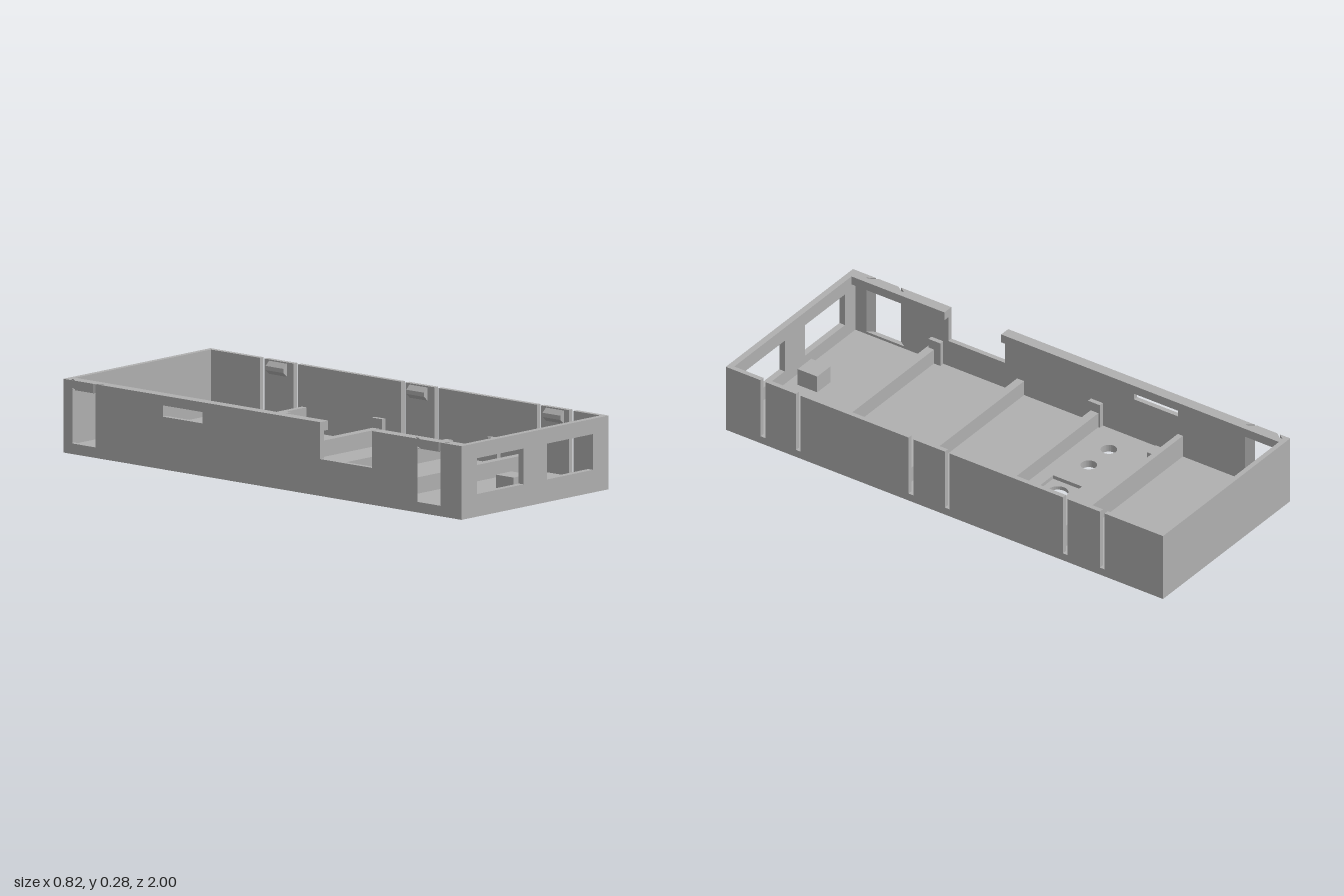
import * as THREE from 'three';

const FLOOR = 0.03, LIP = 0.245, TOP = 0.28;

export function createModel() {
  const group = new THREE.Group();
  const grey = new THREE.MeshStandardMaterial({ color: 0xb0b0b0 });
  grey.name = 'grey plastic';

  const add = (name, geo) => {
    const mesh = new THREE.Mesh(geo, grey);
    mesh.name = name;
    group.add(mesh);
    return mesh;
  };
  const box = (name, x0, x1, y0, y1, z0, z1) =>
    add(name, new THREE.BoxGeometry(x1 - x0, y1 - y0, z1 - z0)
      .translate((x0 + x1) / 2, (y0 + y1) / 2, (z0 + z1) / 2));
  const poly = (pts) => new THREE.Shape(pts.map(([a, b]) => new THREE.Vector2(a, b)));
  const rect = (a0, a1, b0, b1) => poly([[a0, b0], [a1, b0], [a1, b1], [a0, b1]]);
  const circle = (x, y, r) => new THREE.Path().absarc(x, y, r, 0, Math.PI * 2, true);
  const extrude = (shape, depth) =>
    new THREE.ExtrudeGeometry(shape, { depth, bevelEnabled: false, curveSegments: 16 });
  // Plan outline in (x, -z), raised from y0 to y1
  const plan = (name, shape, y0, y1) =>
    add(name, extrude(shape, y1 - y0).rotateX(-Math.PI / 2).translate(0, y0, 0));
  // Side outline in (z, y), running from x0 to x1
  const side = (name, shape, x0, x1) =>
    add(name, extrude(shape, x1 - x0).rotateY(-Math.PI / 2).translate(x1, 0, 0));

  // Floor in two layers: round holes go through, square recesses only in the upper one
  const lower = rect(-0.41, 0.41, -1, 1);
  const upper = rect(-0.41, 0.41, -1, 1);
  for (const x of [-0.27, -0.14]) {
    lower.holes.push(circle(x, 0.27, 0.031));
    upper.holes.push(circle(x, 0.27, 0.031));
  }
  for (const x of [0.06, 0.245]) {
    lower.holes.push(circle(x, 0.27, 0.04));
    upper.holes.push(rect(x - 0.065, x + 0.065, 0.203, 0.335));
  }
  plan('floorLower', lower, 0, 0.015);
  plan('floorUpper', upper, 0.015, FLOOR);

  // Front wall with two windows, and plain back wall
  const front = rect(-0.41, 0.41, FLOOR, TOP);
  front.holes.push(rect(-0.323, -0.065, 0.086, 0.222), rect(0.065, 0.323, 0.086, 0.222));
  add('frontWall', extrude(front, 0.025).translate(0, 0, 0.975));
  box('backWall', -0.41, 0.41, FLOOR, TOP, -1, -0.98);

  // Left wall, slit into flexible tongues
  const edge = [[-0.98, FLOOR], [0.975, FLOOR], [0.975, TOP]];
  for (const z of [0.83, 0.668, 0.153, -0.013, -0.553, -0.722]) {
    edge.push([z + 0.011, TOP], [z + 0.011, FLOOR + 0.001], [z - 0.011, FLOOR + 0.001], [z - 0.011, TOP]);
  }
  edge.push([-0.98, TOP]);
  side('leftWall', poly(edge), 0.39, 0.41);

  // Wedge catches on the tongues
  for (const z of [-0.643, 0.063, 0.748]) {
    const wedge = poly([[0.39, 0.225], [0.39, 0.275], [0.371, 0.258], [0.371, 0.242]]);
    add('catch', extrude(wedge, 0.09).translate(0, 0, z - 0.045));
  }

  // Right wall with a deep gap, a narrow slot and two dovetailed openings
  const right = poly([[-0.98, FLOOR], [0.975, FLOOR], [0.975, LIP], [0.55, LIP],
    [0.55, 0.14], [0.29, 0.14], [0.29, LIP], [-0.98, LIP]]);
  const openings = [[-0.978, -0.953, -0.838, -0.808], [0.752, 0.78, 0.895, 0.925]];
  right.holes.push(rect(-0.5, -0.3, 0.2, 0.243));
  for (const [a, , , d] of openings) right.holes.push(rect(a, d, 0.04, 0.244));
  side('rightWall', right, -0.41, -0.39);
  for (const [a, b, c, d] of openings) {
    plan('openingJamb', poly([[-0.41, -a], [-0.41, -b], [-0.39, -a]]), 0.04, LIP);
    plan('openingJamb', poly([[-0.41, -c], [-0.41, -d], [-0.39, -d]]), 0.04, LIP);
  }

  // Overhanging lip, cut by slanted slits above the openings
  const lip = (z0, z1, [a, b, c, d]) => {
    const w = 0.012;
    plan('rightLip', poly([
      [-0.365, -z0], [-0.41, -z0],
      [-0.41, -b], [-0.39, -a], [-0.39, -a - w], [-0.41, -b - w],
      [-0.41, -c + w], [-0.39, -d + w], [-0.39, -d], [-0.41, -c],
      [-0.41, -z1], [-0.365, -z1]]), LIP, TOP);
  };
  lip(-0.98, 0.29, openings[0]);
  lip(0.55, 0.975, openings[1]);

  // Cross ribs, the rear one taller with two tabs
  for (const [z0, z1, h] of [[-0.523, -0.5, 0.122], [-0.15, -0.115, 0.092],
    [0.203, 0.235, 0.092], [0.602, 0.635, 0.092]]) {
    box('crossRib', -0.39, 0.39, FLOOR, h, z0, z1);
  }
  for (const x of [-0.25, 0.25]) box('ribTab', x - 0.029, x + 0.029, FLOOR, 0.122, -0.5, -0.478);

  // Short posts against the side walls
  for (const z of [-0.13, 0.448]) box('leftPost', 0.371, 0.39, FLOOR, 0.13, z - 0.027, z + 0.027);
  for (const z of [-0.13, 0.6]) box('rightPost', -0.39, -0.371, FLOOR, 0.13, z - 0.027, z + 0.027);

  // Block near the front
  box('frontBlock', -0.045, 0.042, FLOOR, 0.1, 0.843, 0.932);

  return group;
}
